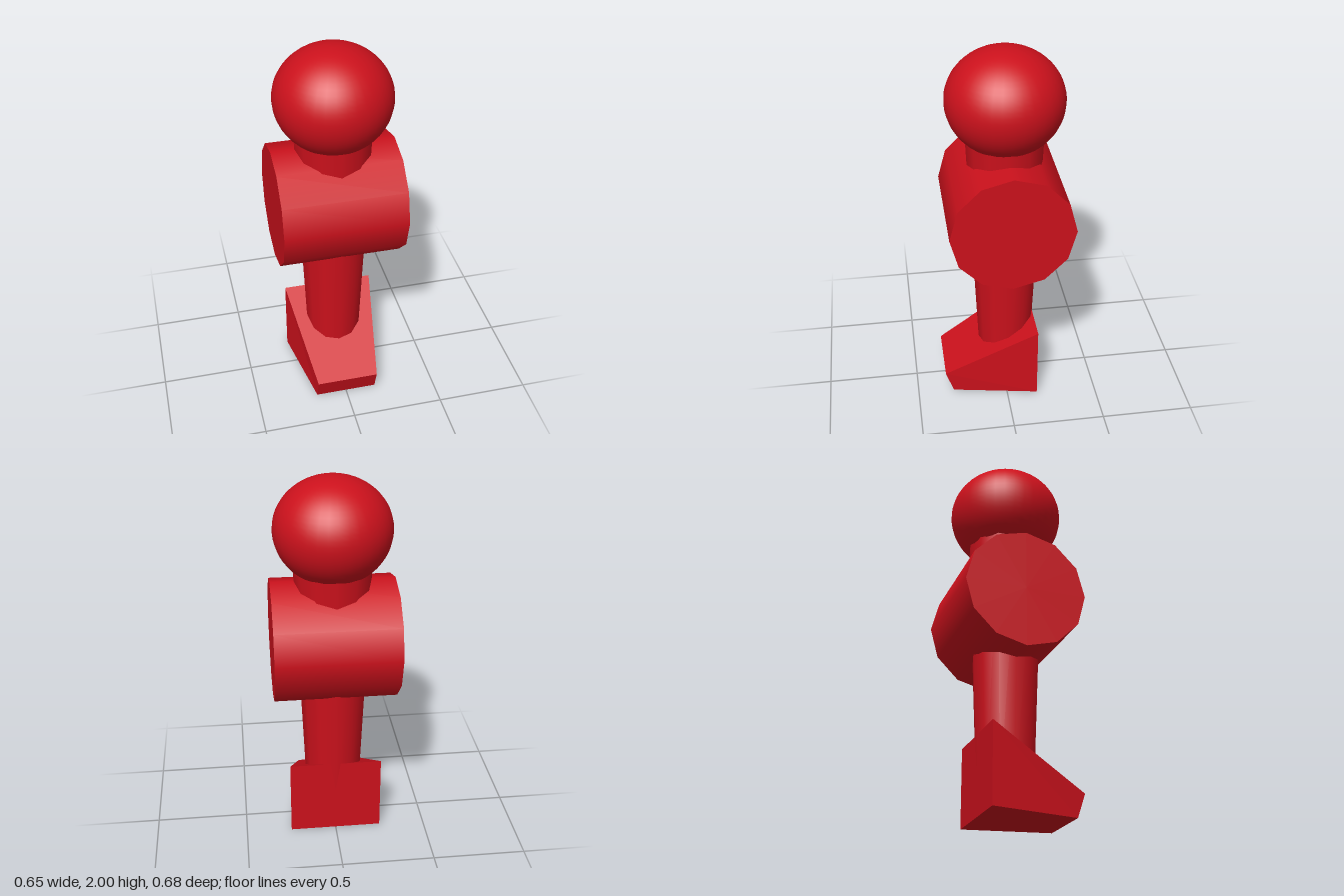
import * as THREE from 'three';

const CENTRE_Z = -0.017;

// Wedge foot: cross-sections at back and front, tapering in width
function footGeometry() {
  const section = (z0, z1, y1, w) => [[-w, 0, z0], [w, 0, z0], [w, y1, z1], [-w, y1, z1]];
  const back = section(-0.168, -0.168, 0.425, 0.25);
  const front = section(0.3, 0.342, 0.125, 0.168);
  const pos = [];
  const quad = (a, b, c, d) => pos.push(...a, ...b, ...c, ...a, ...c, ...d);
  quad(...front);
  quad(back[1], back[0], back[3], back[2]);
  for (let i = 0; i < 4; i++) {
    const j = (i + 1) % 4;
    quad(front[j], front[i], back[i], back[j]);
  }
  const g = new THREE.BufferGeometry();
  g.setAttribute('position', new THREE.Float32BufferAttribute(pos, 3));
  g.computeVertexNormals();
  return g;
}

// Slightly flattened ball, cut flat where it meets the neck
function headGeometry() {
  const profile = [new THREE.Vector2(0, 1.512), new THREE.Vector2(0.2, 1.512)];
  const start = -Math.asin(0.218 / 0.285);
  const steps = 24;
  for (let i = 0; i <= steps; i++) {
    const a = start + (Math.PI / 2 - start) * i / steps;
    const height = a < 0 ? 0.285 : 0.27;
    profile.push(new THREE.Vector2(Math.max(0, 0.305 * Math.cos(a)), 1.73 + height * Math.sin(a)));
  }
  // The flat underside is kept apart so its rim stays sharp
  return [new THREE.LatheGeometry(profile.slice(2), 36), new THREE.LatheGeometry(profile.slice(0, 2), 36)];
}

export function createModel() {
  const group = new THREE.Group();
  const red = new THREE.MeshStandardMaterial({ color: 0xcc111c });
  const add = (name, geometry, y = 0, z = CENTRE_Z) => {
    const mesh = new THREE.Mesh(geometry, red);
    mesh.name = name;
    mesh.position.set(0, y, z);
    group.add(mesh);
    return mesh;
  };

  const [ball, underside] = headGeometry();
  add('head', ball);
  add('headUnderside', underside);

  // One tapered post forms both the neck and the leg
  const low = 0.1, high = 1.55;
  const radius = y => 0.151 + 0.042 * (y - 0.25);
  add('neckAndLeg', new THREE.CylinderGeometry(radius(high), radius(low), high - low, 12), (low + high) / 2);

  // Twelve-sided barrel lying across the post
  add('body', new THREE.CylinderGeometry(0.325, 0.325, 0.65, 12).rotateZ(Math.PI / 2), 1.13);

  add('foot', footGeometry(), 0, 0);
  return group;
}
